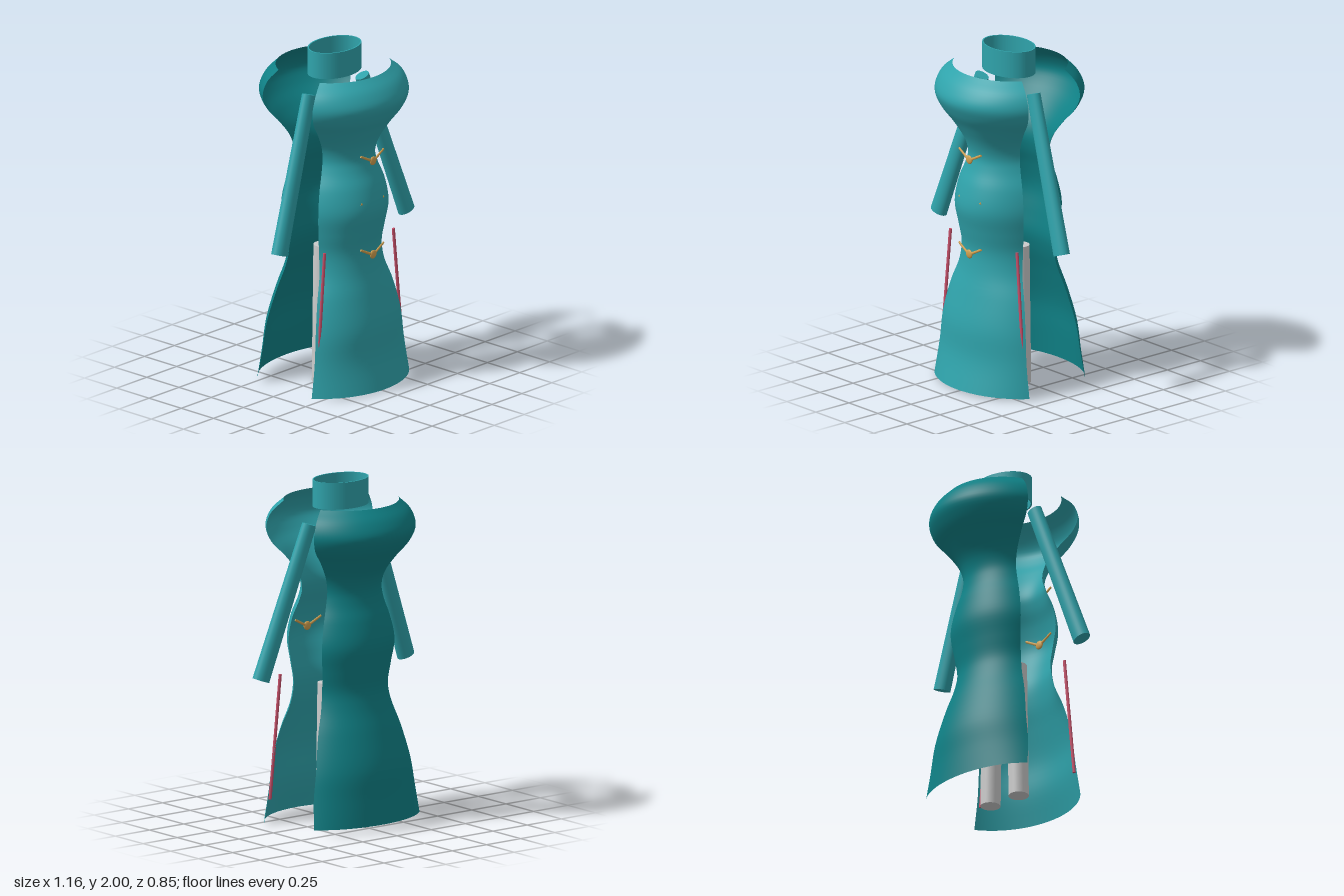
import * as THREE from 'three';

const mat = (color) => new THREE.MeshStandardMaterial({ color, side: THREE.DoubleSide });

// Curved dress panel; each row is [height, half width, z at middle, z at side edge].
function panel(name, rows, material, dir) {
  const widths = new THREE.CatmullRomCurve3(rows.map(([y, w, zc]) => new THREE.Vector3(w, y, zc)));
  const edges = new THREE.CatmullRomCurve3(rows.map(([y, , , ze]) => new THREE.Vector3(0, y, ze)));
  const geo = new THREE.PlaneGeometry(1, 1, 40, 80);
  const p = geo.attributes.position;
  const half = Math.PI / 3;
  for (let i = 0; i < p.count; i++) {
    const t = p.getX(i) * 2 * half;
    const v = p.getY(i) + 0.5;
    const a = widths.getPoint(v);
    const ze = edges.getPoint(v).z;
    const x = a.x * Math.sin(t) / Math.sin(half);
    const z = ze + (a.z - ze) * (Math.cos(t) - 0.5) / 0.5;
    p.setXYZ(i, dir * x, a.y, dir * z);
  }
  geo.computeVertexNormals();
  const mesh = new THREE.Mesh(geo, material);
  mesh.name = name;
  return mesh;
}

// Cylinder between two points, with different end radii and a depth scale.
function rod(name, from, to, r0, r1, material, depth = 1, sides = 32) {
  const a = new THREE.Vector3(...from), b = new THREE.Vector3(...to);
  const geo = new THREE.CylinderGeometry(r1, r0, a.distanceTo(b), sides);
  geo.scale(1, 1, depth);
  const mesh = new THREE.Mesh(geo, material);
  mesh.position.copy(a).add(b).multiplyScalar(0.5);
  mesh.quaternion.setFromUnitVectors(new THREE.Vector3(0, 1, 0), b.sub(a).normalize());
  mesh.name = name;
  return mesh;
}

export function createModel() {
  const model = new THREE.Group();
  model.name = 'dress';
  const teal = mat(0x2fa3ab), darkTeal = mat(0x0f8085), gold = mat(0xd0a050);
  const pink = mat(0xc8506a), grey = mat(0xcccccc);

  // Front and back panels
  model.add(panel('frontPanel', [
    [0.012, 0.40, 0.40, 0.205], [0.2, 0.37, 0.36, 0.20], [0.38, 0.35, 0.352, 0.19],
    [0.56, 0.31, 0.315, 0.165], [0.7, 0.262, 0.283, 0.137], [0.82, 0.25, 0.275, 0.123],
    [0.94, 0.263, 0.30, 0.13], [1.07, 0.275, 0.328, 0.14], [1.2, 0.255, 0.305, 0.13],
    [1.3, 0.218, 0.268, 0.112], [1.37, 0.203, 0.255, 0.105], [1.45, 0.218, 0.275, 0.115],
    [1.56, 0.29, 0.335, 0.15], [1.65, 0.365, 0.395, 0.187], [1.73, 0.388, 0.425, 0.20],
    [1.81, 0.362, 0.39, 0.195], [1.88, 0.29, 0.32, 0.165],
  ], teal, 1));
  model.add(panel('backPanel', [
    [0.04, 0.385, 0.36, 0.228], [0.2, 0.37, 0.352, 0.205], [0.36, 0.345, 0.345, 0.195],
    [0.56, 0.30, 0.295, 0.158], [0.7, 0.255, 0.252, 0.13], [0.8, 0.24, 0.235, 0.12],
    [0.92, 0.25, 0.25, 0.135], [1.06, 0.265, 0.272, 0.15], [1.2, 0.24, 0.25, 0.135],
    [1.3, 0.21, 0.222, 0.118], [1.38, 0.198, 0.215, 0.115], [1.46, 0.215, 0.24, 0.125],
    [1.56, 0.275, 0.315, 0.155], [1.65, 0.345, 0.39, 0.188], [1.73, 0.368, 0.425, 0.205],
    [1.81, 0.345, 0.395, 0.195], [1.88, 0.285, 0.33, 0.16],
  ], darkTeal, -1));

  // Oval collar band with a thin wall
  const ring = new THREE.Shape().absellipse(0, 0, 0.178, 0.128, 0, Math.PI * 2);
  ring.holes.push(new THREE.Path().absellipse(0, 0, 0.17, 0.12, 0, Math.PI * 2));
  const collarGeo = new THREE.ExtrudeGeometry(ring, { depth: 0.155, bevelEnabled: false, curveSegments: 64 });
  collarGeo.rotateX(-Math.PI / 2);
  const collar = new THREE.Mesh(collarGeo, teal);
  collar.position.set(0, 1.845, 0.01);
  collar.name = 'collar';
  model.add(collar);

  // Sleeves, legs and side slit trims
  for (const [s, side] of [[1, 'left'], [-1, 'right']]) {
    model.add(rod(side + 'Sleeve', [s * 0.53, 0.88, 0.075], [s * 0.222, 1.757, 0.018],
      0.055, 0.046, teal, 0.75));
    model.add(rod(side + 'Leg', [s * 0.107, 0.002, 0.012], [s * 0.093, 0.82, 0.012],
      0.058, 0.058, grey));
    model.add(rod(side + 'SlitTrim', [s * 0.355, 0.14, 0.208], [s * 0.287, 0.86, 0.2],
      0.01, 0.01, pink, 0.8, 8));
  }

  // Three winged clasps down the front
  for (const y of [1.37, 1.085, 0.805]) {
    const clasp = new THREE.Group();
    clasp.name = 'clasp';
    const knob = new THREE.Mesh(new THREE.SphereGeometry(0.026, 20, 14), gold);
    knob.scale.z = 0.35;
    knob.name = 'claspKnob';
    clasp.add(knob);
    for (const s of [1, -1]) {
      clasp.add(rod('claspWing', [s * 0.01, 0.002, 0], [s * 0.095, 0.046, -0.007], 0.008, 0.007, gold, 0.7, 10));
    }
    clasp.position.set(0, y, 0.31);
    model.add(clasp);
  }
  return model;
}
